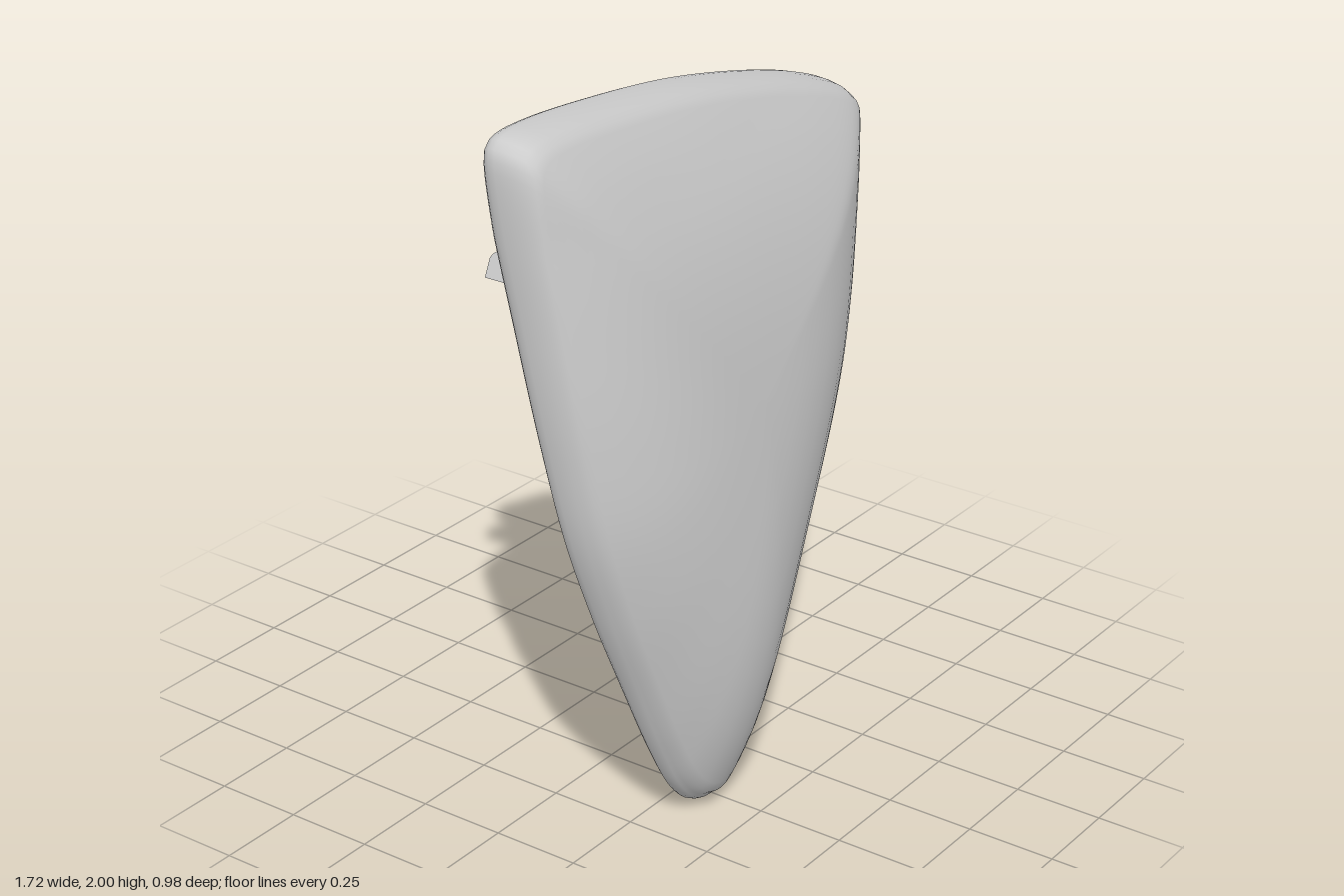
import * as THREE from 'three';

const material = new THREE.MeshStandardMaterial({ color: 0xcccccc, side: THREE.DoubleSide });

// Rounded triangular outline, clockwise from the top corner
const OUTLINE = [
  [-0.86, 1.95], [-0.845, 1.985], [-0.8, 2.0], [-0.68, 1.998], [-0.4, 1.965], [0, 1.9], [0.4, 1.805],
  [0.65, 1.73], [0.8, 1.67], [0.85, 1.635], [0.86, 1.61], [0.845, 1.55], [0.79, 1.4], [0.7, 1.18],
  [0.61, 1.0], [0.49, 0.82], [0.2, 0.45], [0, 0.2], [-0.1, 0.09], [-0.19, 0.02], [-0.27, 0.002],
  [-0.35, 0.03], [-0.42, 0.1], [-0.5, 0.24], [-0.6, 0.46], [-0.7, 0.7], [-0.78, 0.95], [-0.82, 1.2],
  [-0.845, 1.5],
];
const CENTRE = { x: -0.15, y: 1.15 };
const DEPTH = 0.3;

// Tilted, very slightly hollow back face
function backZ(x, y) {
  const hollow = 0.03 * Math.sin(Math.PI * THREE.MathUtils.clamp(y / 1.75, 0, 1));
  return 0.2586 - 0.1273 * x - 0.1484 * y + hollow;
}

// Shell built from rings: out along the back, round the rim, in over the domed front
function makeShell() {
  const curve = new THREE.CatmullRomCurve3(
    OUTLINE.map(([x, y]) => new THREE.Vector3(x, y, 0)), true, 'centripetal');
  const n = 200;
  const outline = curve.getSpacedPoints(n).slice(0, n);

  const rings = [0, 0.25, 0.5, 0.75, 0.9, 0.95].map(t => ({ t, rim: 0 }));
  for (const [t, rim] of [[0.975, 0.02], [0.99, 0.1], [0.998, 0.22], [1, 0.36], [0.997, 0.58], [0.99, 0.8], [0.979, 0.96]]) {
    rings.push({ t, rim });
  }
  for (const t of [0.965, 0.94, 0.9, 0.85, 0.8, 0.73, 0.65, 0.56, 0.46, 0.35, 0.24, 0.12, 0]) rings.push({ t, dome: true });

  const positions = [], index = [];
  rings.forEach(({ t, rim, dome }, i) => {
    outline.forEach((p, j) => {
      const x = CENTRE.x + (p.x - CENTRE.x) * t;
      const y = CENTRE.y + (p.y - CENTRE.y) * t;
      const wall = 0.07 + 0.065 * THREE.MathUtils.smoothstep(p.y, 0, 1.9);
      const h = dome ? wall + (DEPTH - wall) * (1 - t ** 3) : wall * rim;
      positions.push(x, y, backZ(x, y) + h);
      if (i < rings.length - 1) {
        const a = i * n + j, b = i * n + (j + 1) % n;
        index.push(a, a + n, b, b, a + n, b + n);
      }
    });
  });
  const geometry = new THREE.BufferGeometry();
  geometry.setAttribute('position', new THREE.Float32BufferAttribute(positions, 3));
  geometry.setIndex(index);
  geometry.computeVertexNormals();
  return geometry;
}

// Forked clip: two plates with a round-ended slot and small lips at the open end.
// corner: middle of the slot's open end; axis: outward; up: normal of the plates.
function makeClip(name, end, axis, up, length, slot) {
  const T = 0.1, g = 0.035, w = 0.275;
  const s = new THREE.Shape();
  s.moveTo(-length, -T);
  s.lineTo(0, -T);
  s.lineTo(0, -g - 0.012);
  s.quadraticCurveTo(-0.01, -g + 0.015, -0.04, -g + 0.015);
  s.lineTo(-0.1, -g + 0.015);
  s.lineTo(-0.11, -g);
  s.lineTo(-slot + g, -g);
  s.absarc(-slot + g, 0, g, -Math.PI / 2, Math.PI / 2, true);
  s.lineTo(-0.11, g);
  s.lineTo(-0.1, g - 0.015);
  s.lineTo(-0.04, g - 0.015);
  s.quadraticCurveTo(-0.01, g - 0.015, 0, g + 0.012);
  s.lineTo(0, T);
  s.lineTo(-length, T);
  s.closePath();
  const geometry = new THREE.ExtrudeGeometry(s, { depth: w, bevelEnabled: false, curveSegments: 8 });
  geometry.translate(0, 0, -w / 2);

  const d = new THREE.Vector3(...axis).normalize();
  const u = new THREE.Vector3().crossVectors(d, new THREE.Vector3(...up)).normalize();
  const v = new THREE.Vector3().crossVectors(u, d);
  const mesh = new THREE.Mesh(geometry, material);
  mesh.name = name;
  mesh.quaternion.setFromRotationMatrix(new THREE.Matrix4().makeBasis(d, v, u));
  mesh.position.set(...end);
  return mesh;
}

export function createModel() {
  const group = new THREE.Group();
  group.name = 'curvedPanel';

  const shell = new THREE.Mesh(makeShell(), material);
  shell.name = 'shell';
  group.add(shell);

  // Two clips on the back, leaning away from each other
  group.add(makeClip('middleClip', [-0.107, 1.373, -0.39], [0, 0, -1], [0.41, 0.91, 0], 0.52, 0.43));
  group.add(makeClip('sideClip', [0.495, 1.284, -0.438], [-0.2, -0.19, -1], [-0.45, 0.887, -0.078], 0.47, 0.44));
  return group;
}
